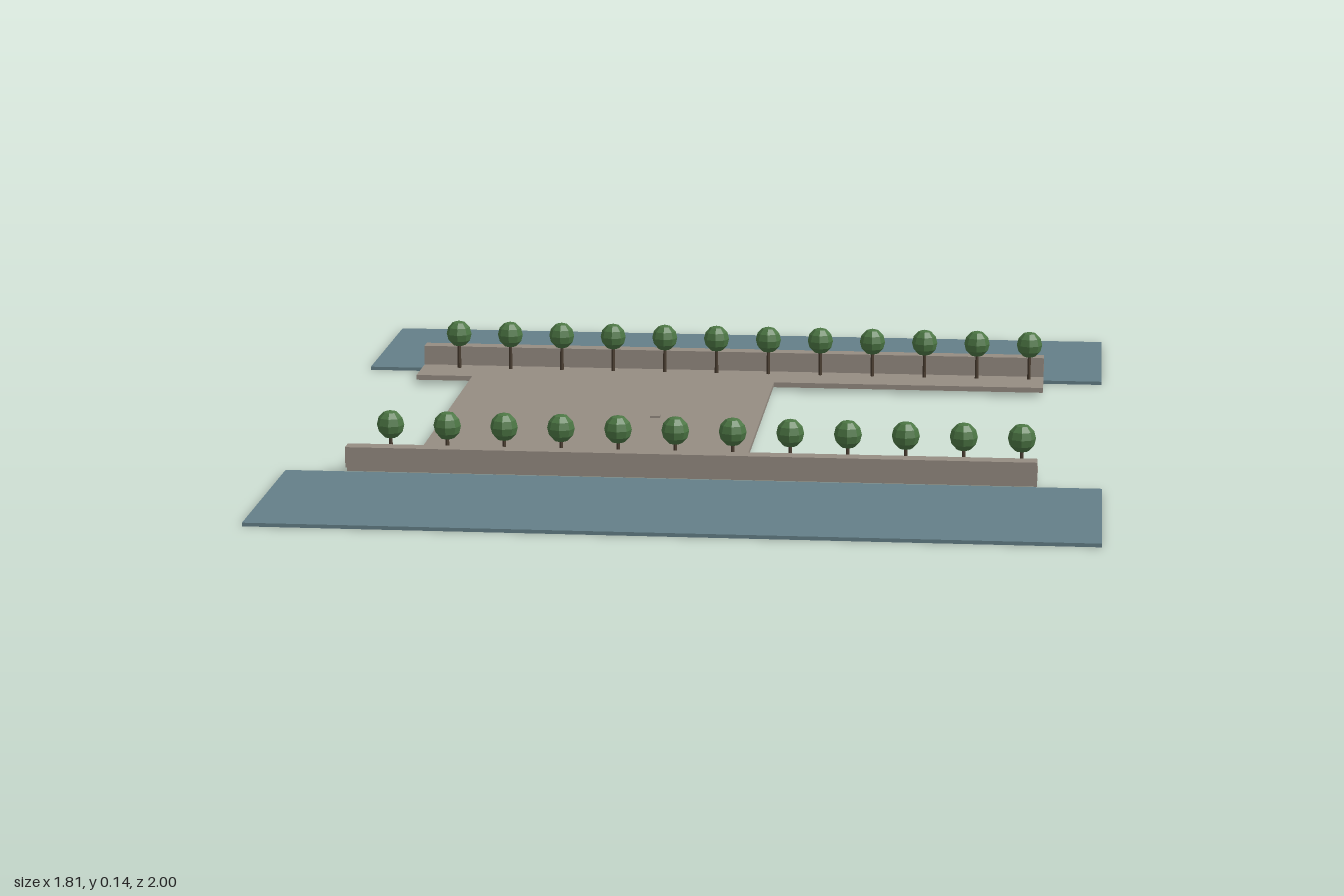
import * as THREE from 'three';

export function createModel() {
  const model = new THREE.Group();
  model.name = 'riversidePlaza';

  const material = (name, color, flatShading = false) => {
    const m = new THREE.MeshStandardMaterial({ color, flatShading });
    m.name = name;
    return m;
  };
  const stone = material('stone', 0x958c82);
  const water = material('water', 0x647f88);
  const foliage = material('foliage', 0x4c7644, true);
  const bark = material('bark', 0x4a3d30, true);

  // Box given by its lower and upper limits on each axis
  const box = (name, mat, [x0, x1], [y0, y1], [z0, z1]) => {
    const mesh = new THREE.Mesh(new THREE.BoxGeometry(x1 - x0, y1 - y0, Math.abs(z1 - z0)), mat);
    mesh.position.set((x0 + x1) / 2, (y0 + y1) / 2, (z0 + z1) / 2);
    mesh.name = name;
    model.add(mesh);
  };

  // Paved deck between the two quays, with a small marker stone
  box('plazaDeck', stone, [-0.63, 0.112], [0.011, 0.021], [-0.395, 0.395]);
  box('markerStone', stone, [-0.147, -0.123], [0.021, 0.026], [-0.01, 0.01]);

  const crownGeometry = new THREE.SphereGeometry(0.031, 8, 6);
  const trunkGeometry = new THREE.CylinderGeometry(0.004, 0.005, 0.064, 6);

  for (const side of [1, -1]) {
    const label = side > 0 ? 'front' : 'back';
    // Water strip, quay and parapet
    box(label + 'Water', water, [-0.907, 0.907], [0, 0.008], [side * 0.535, side]);
    box(label + 'Quay', stone, [-0.768, 0.765], [0.009, 0.021], [side * 0.395, side * 0.535]);
    box(label + 'Parapet', stone, [-0.768, 0.765], [0.021, 0.068], [side * 0.517, side * 0.554]);

    // Row of clipped trees
    for (let i = 0; i < 12; i++) {
      const tree = new THREE.Group();
      tree.name = label + 'Tree' + (i + 1);
      const trunk = new THREE.Mesh(trunkGeometry, bark);
      trunk.name = 'trunk';
      trunk.position.y = 0.032;
      const crown = new THREE.Mesh(crownGeometry, foliage);
      crown.name = 'crown';
      crown.position.y = 0.086;
      crown.scale.y = 1.05;
      tree.add(trunk, crown);
      tree.position.set(-0.676 + i * 0.1278, 0.021, side * 0.489);
      model.add(tree);
    }
  }
  return model;
}
